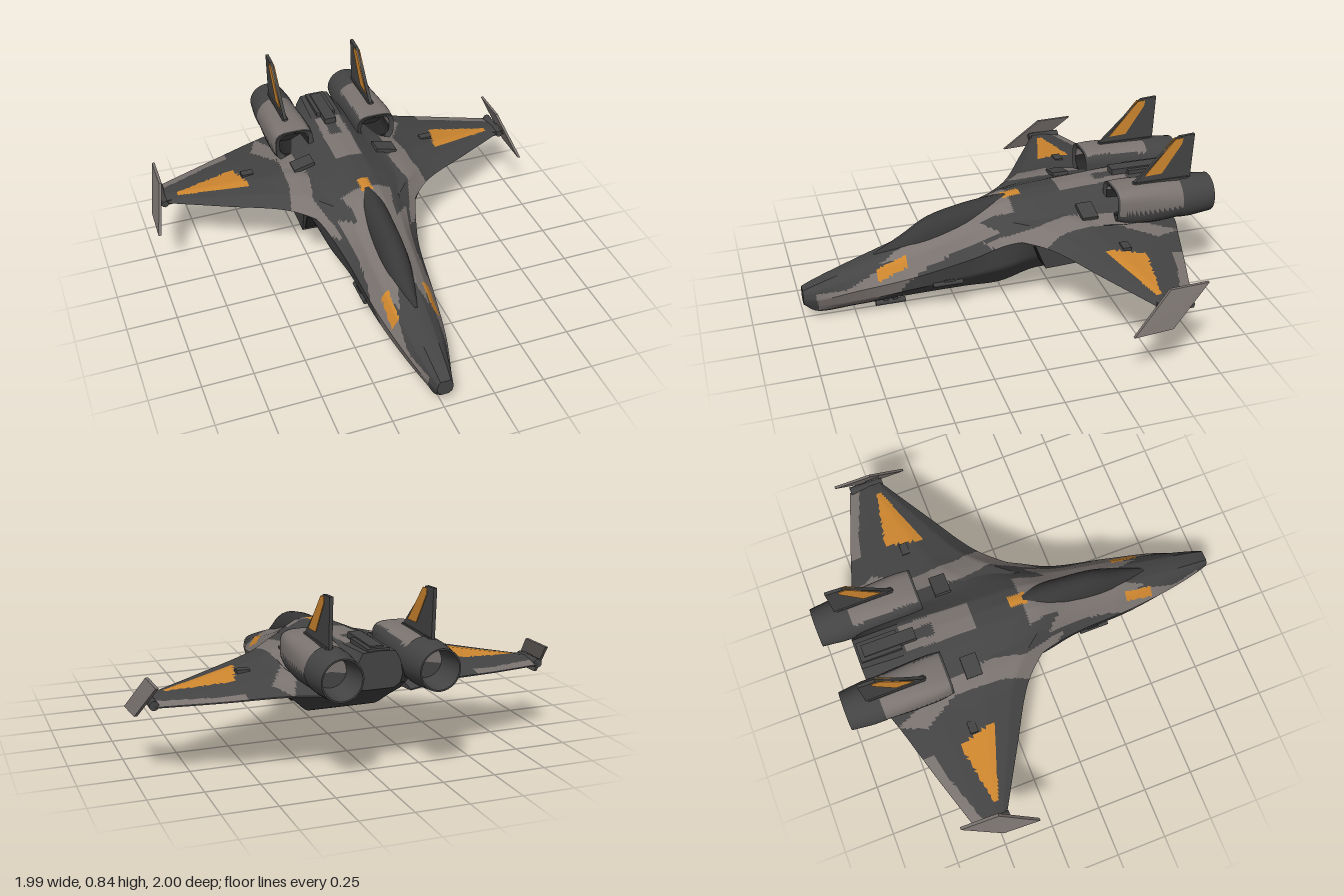
import * as THREE from 'three';
import { toCreasedNormals } from 'three/addons/utils/BufferGeometryUtils.js';
import { ConvexGeometry } from 'three/addons/geometries/ConvexGeometry.js';

const V = (x, y, z) => new THREE.Vector3(x, y, z);
const material = (name, color) => Object.assign(new THREE.MeshStandardMaterial({ color }), { name });

// even-odd test of a point against a small polygon
function inside(poly, u, v) {
  let hit = false;
  poly.forEach(([ax, ay], i) => {
    const [bx, by] = poly[(i + 1) % poly.length];
    if ((ay > v) !== (by > v) && u < ((bx - ax) * (v - ay)) / (by - ay) + ax) hit = !hit;
  });
  return hit;
}

// smooth curves along the sections, straight lines around each ring
function densify(rings, along, around) {
  const n = (rings.length - 1) * along;
  const cols = rings[0].map((_, j) => new THREE.CatmullRomCurve3(rings.map(r => r[j])).getPoints(n));
  return Array.from({ length: n + 1 }, (_, i) => cols.flatMap((c, j) => {
    const next = cols[(j + 1) % cols.length][i];
    return Array.from({ length: around }, (_, k) => c[i].clone().lerp(next, k / around));
  }));
}

// closed skin over rings; colourOf(centre, normal) picks the material index
function loft(name, rings, mats, colourOf, { side = 1, crease = 0.6 } = {}) {
  const centre = r => r.reduce((s, p) => s.add(p), V(0, 0, 0)).divideScalar(r.length);
  const all = [rings[0].map(() => centre(rings[0])), ...rings, rings.at(-1).map(() => centre(rings.at(-1)))];
  const buckets = mats.map(() => []);
  const ab = V(), ac = V();
  const tri = (a, b, c) => {
    const n = V().crossVectors(ab.subVectors(b, a), ac.subVectors(c, a));
    if (n.length() < 1e-10) return;
    const m = colourOf(centre([a, b, c]), n.normalize());
    for (const p of side > 0 ? [a, b, c] : [a, c, b]) buckets[m].push(p.x * side, p.y, p.z);
  };
  for (let i = 0; i < all.length - 1; i++) {
    const p = all[i], q = all[i + 1], n = p.length;
    for (let j = 0; j < n; j++) {
      const k = (j + 1) % n;
      tri(p[j], q[j], p[k]);
      tri(p[k], q[j], q[k]);
    }
  }
  const g = new THREE.BufferGeometry();
  g.setAttribute('position', new THREE.Float32BufferAttribute(buckets.flat(), 3));
  let start = 0;
  buckets.forEach((b, m) => { g.addGroup(start, b.length / 3, m); start += b.length / 3; });
  const mesh = new THREE.Mesh(toCreasedNormals(g, crease), mats);
  mesh.name = name;
  return mesh;
}

export function createModel() {
  const model = new THREE.Group();
  model.name = 'spacecraft';
  const dark = material('dark grey', 0x444444), light = material('light grey', 0x7b7471);
  const orange = material('orange', 0xcf872f), glass = material('canopy grey', 0x383839);
  const black = material('recess black', 0x252525);
  const paint = [dark, light, orange];
  const add = (name, geo, mat, x = 0, y = 0, z = 0) => {
    const m = new THREE.Mesh(geo, mat);
    m.name = name;
    m.position.set(x, y, z);
    model.add(m);
    return m;
  };
  const box = (name, w, h, d, mat, x, y, z) => add(name, new THREE.BoxGeometry(w, h, d), mat, x, y, z);
  // flat panel given by [z, y] corners, thickened along x
  const panel = (pts, x, t) => new ConvexGeometry(pts.flatMap(([z, y]) => [V(x - t, y, z), V(x + t, y, z)]));

  // fuselage: z, then half outline from top centre to bottom centre
  const stations = [
    [1, [0, .165], [.025, .165], [.035, .15], [.04, .125], [.035, .1], [.02, .085], [0, .085]],
    [.94, [0, .19], [.03, .19], [.05, .165], [.058, .12], [.045, .08], [.03, .045], [0, .04]],
    [.75, [0, .262], [.04, .257], [.075, .23], [.11, .17], [.09, .1], [.04, .05], [0, .04]],
    [.5, [0, .345], [.05, .34], [.1, .305], [.152, .22], [.14, .15], [.05, .065], [0, .06]],
    [.2, [0, .44], [.06, .435], [.115, .405], [.19, .3], [.165, .19], [.07, .08], [0, .07]],
    [.03, [0, .518], [.06, .51], [.13, .47], [.24, .38], [.21, .24], [.09, .09], [0, .08]],
    [-.13, [0, .54], [.07, .53], [.15, .495], [.3, .42], [.24, .29], [.15, .175], [0, .17]],
    [-.4, [0, .555], [.07, .55], [.16, .5], [.32, .46], [.28, .29], [.16, .185], [0, .185]],
    [-.6, [0, .565], [.08, .56], [.16, .5], [.3, .44], [.27, .34], [.15, .285], [0, .28]],
    [-.86, [0, .58], [.075, .575], [.1, .53], [.11, .47], [.1, .43], [.07, .41], [0, .41]],
  ];
  const bodyRings = stations.map(([z, ...h]) => [
    ...h.map(([x, y]) => V(-x, y, z)),
    ...h.slice(1, -1).reverse().map(([x, y]) => V(x, y, z)),
  ]);
  // camouflage areas: from above as [x, z], from the side as [z, y]
  const strake = [[.17, .14], [.21, .1], [.27, -.03], [.36, -.12], [.33, -.24], [.32, -.5], [.42, -.66], [.36, -.8],
    [.24, -.5], [.22, -.25], [.25, -.1]];
  const frame = [[0, -.03], [.13, -.03], [.1, .08], [.115, .3], [.1, .5], [.07, .62], [.04, .5], [0, .3]];
  const flank = [[.93, .05], [.94, .15], [.8, .17], [.62, .27], [.4, .35], [.15, .45], [.05, .42], [.4, .27], [.5, .21],
    [.55, .14], [.7, .07]];
  const bodyColour = (c, n) => {
    const x = Math.abs(c.x);
    if (n.y > .2) {
      if (x < .028 && c.z < 0 && c.z > -.09) return 2;
      if (x > .085 && x < .12 && c.z > .5 && c.z < .65) return 2;
      if (x < .07 && c.z < -.28 && c.z > -.64 && (x > .03 || c.z > -.48)) return 1;
      if (inside(strake, x, c.z) || inside(frame, x, c.z)) return 1;
    }
    return n.z < .8 && inside(flank, c.z, c.y) ? 1 : 0;
  };
  model.add(loft('fuselage', densify(bodyRings, 14, 6), paint, bodyColour));

  // canopy: z, half width, base height, top height
  const canopyRings = [[.64, .012, .28, .302], [.5, .05, .31, .378], [.37, .068, .35, .458], [.2, .07, .4, .503],
    [.06, .06, .46, .522], [-.03, .035, .5, .53]].map(([z, w, b, t]) => Array.from({ length: 20 }, (_, i) => {
    const a = (i / 20) * Math.PI * 2;
    return V(Math.cos(a) * w, b + Math.sin(a) * (t - b), z);
  }));
  model.add(loft('canopy', densify(canopyRings, 5, 1), [glass], () => 0));

  // nose port, dorsal blocks and chin gun
  box('nosePort', .045, .05, .01, black, 0, .122, 1 - .006);
  box('dorsalSlot', .06, .03, .26, dark, 0, .58, -.7);
  box('dorsalStep', .1, .02, .2, dark, 0, .578, -.75);
  const barrel = add('chinGun', new THREE.CylinderGeometry(.013, .013, .15, 12), dark, 0, .0135, .57);
  barrel.rotation.x = Math.PI / 2;
  for (const s of [-1, 1]) {
    const strut = box('chinGunStrut', .014, .06, .02, dark, 0, .043, .57 + s * .03);
    strut.rotation.x = s * .4;
  }

  // wing: x, leading z, trailing z, leading y, top y, bottom y
  const wingRings = [[.16, .12, -.84, .39, .485, .33], [.27, -.03, -.82, .4, .48, .34], [.38, -.14, -.785, .4, .455, .345],
    [.65, -.3, -.705, .38, .413, .348], [.92, -.455, -.62, .362, .376, .35]].map(([x, a, b, y, t, u]) => {
    const at = f => a + (b - a) * f;
    return [V(x, y, a), V(x, y + (t - y) * .75, at(.12)), V(x, t, at(.35)), V(x, (t + y) / 2, at(.7)), V(x, y - .004, b),
      V(x, y - .01, b), V(x, u, at(.5)), V(x, (u + y) / 2, at(.12))];
  });
  const wingTop = [[.86, -.475], [.85, -.495], [.55, -.55], [.5, -.355]];
  const wingUnder = [[.86, -.475], [.85, -.5], [.52, -.485], [.5, -.4]];
  const wingEdge = [[.54, -.76], [.54, -.685], [.6, -.675], [.93, -.565], [.93, -.65]];
  const wingColour = (c, n) => {
    if (inside(n.y > 0 ? wingTop : wingUnder, c.x, c.z)) return 2;
    return n.y > 0 && (inside(wingEdge, c.x, c.z) || inside(strake, c.x, c.z)) ? 1 : 0;
  };

  // engine housing: z, half width, half height, centre y; starts inside the intake
  const engineRings = [[-.62, .07, .05, .53], [-.5, .078, .058, .532], [-.49, .1, .08, .53], [-.56, .106, .092, .522],
    [-.7, .107, .103, .512], [-.86, .104, .1, .51]].map(([z, w, h, y], i) => Array.from({ length: 32 }, (_, k) => {
    const a = (k / 32) * Math.PI * 2, e = i < 4 ? .55 : i === 4 ? .75 : 1;
    const p = t => Math.sign(t) * Math.abs(t) ** e;
    return V(.222 + w * p(Math.cos(a)), y + h * p(Math.sin(a)), z);
  }));
  const engineColour = (c, n) => {
    const r = Math.hypot(c.x - .222, c.y - .52);
    if (c.z > -.63 && n.z > -.1 && r < .078 && Math.abs(c.x - .222) < .079) return 2;
    return c.y > .5 && c.x > .14 && c.z < -.5 ? 1 : 0;
  };
  const nozzle = new THREE.LatheGeometry([[.001, .02], [.07, .02], [.088, .17], [.095, .17], [.107, .06], [.107, 0]]
    .reverse().map(([r, y]) => new THREE.Vector2(r, -y)).reverse(), 32);
  nozzle.rotateX(Math.PI / 2);
  const nozzleMat = dark.clone();
  nozzleMat.name = 'nozzle grey';
  nozzleMat.side = THREE.DoubleSide;

  for (const s of [1, -1]) {
    model.add(loft('wing', densify(wingRings, 16, 8), paint, wingColour, { side: s }));
    model.add(loft('engineHousing', engineRings.slice(0, 3).concat(densify(engineRings.slice(2), 6, 1)),
      [dark, light, black], engineColour, { side: s }));
    add('engineNozzle', toCreasedNormals(nozzle, .5), nozzleMat, s * .222, .51, -.83);

    // tail fin with painted panels
    add('tailFin', panel([[-.59, .61], [-.89, .58], [-.875, .64], [-.9, .843], [-.82, .838]], s * .235, .008), dark);
    for (const d of [-1, 1])
      add('finStripe', panel([[-.65, .65], [-.74, .655], [-.835, .8], [-.84, .83], [-.8, .828]],
        s * .235 + d * .009, .002), orange);
    box('finRoot', .03, .02, .28, dark, s * .235, .612, -.74);

    // canted wingtip plate on its pod
    add('winglet', new ConvexGeometry([-.007, .007].flatMap(t => [V(s * (.989 + t), .275, -.315),
      V(s * (.983 + t), .285, -.5), V(s * (.925 + t), .46, -.685), V(s * (.928 + t), .455, -.5)])), light);
    const pod = add('wingtipPod', new THREE.CylinderGeometry(.018, .022, .17, 10), dark, s * .925, .362, -.53);
    pod.rotation.x = Math.PI / 2;
    box('wingtipMount', .1, .026, .07, dark, s * .91, .362, -.49);

    // lower intake, upper vent, cheek gun and wing bump
    add('lowerIntake', new ConvexGeometry([[.2, .25, -.14], [.3, .255, -.14], [.31, .4, -.08], [.19, .4, -.08],
      [.2, .26, -.38], [.3, .265, -.38], [.31, .42, -.68], [.19, .42, -.68]].map(([x, y, z]) => V(s * x, y, z))), dark);
    const mouth = box('intakeMouth', .08, .105, .008, black, s * .25, .325, -.109);
    mouth.rotation.x = .38;
    const vent = box('upperVent', .11, .03, .08, dark, s * .22, .487, -.37);
    vent.rotation.z = -s * .25;
    const gun = add('cheekGun', new THREE.CylinderGeometry(.012, .012, .15, 8), dark, s * .155, .165, .31);
    gun.rotation.x = Math.PI / 2;
    box('cheekGunMount', .04, .03, .06, dark, s * .14, .17, .3);
    box('wingBump', .06, .016, .04, dark, s * .49, .432, -.465);
  }
  return model;
}
